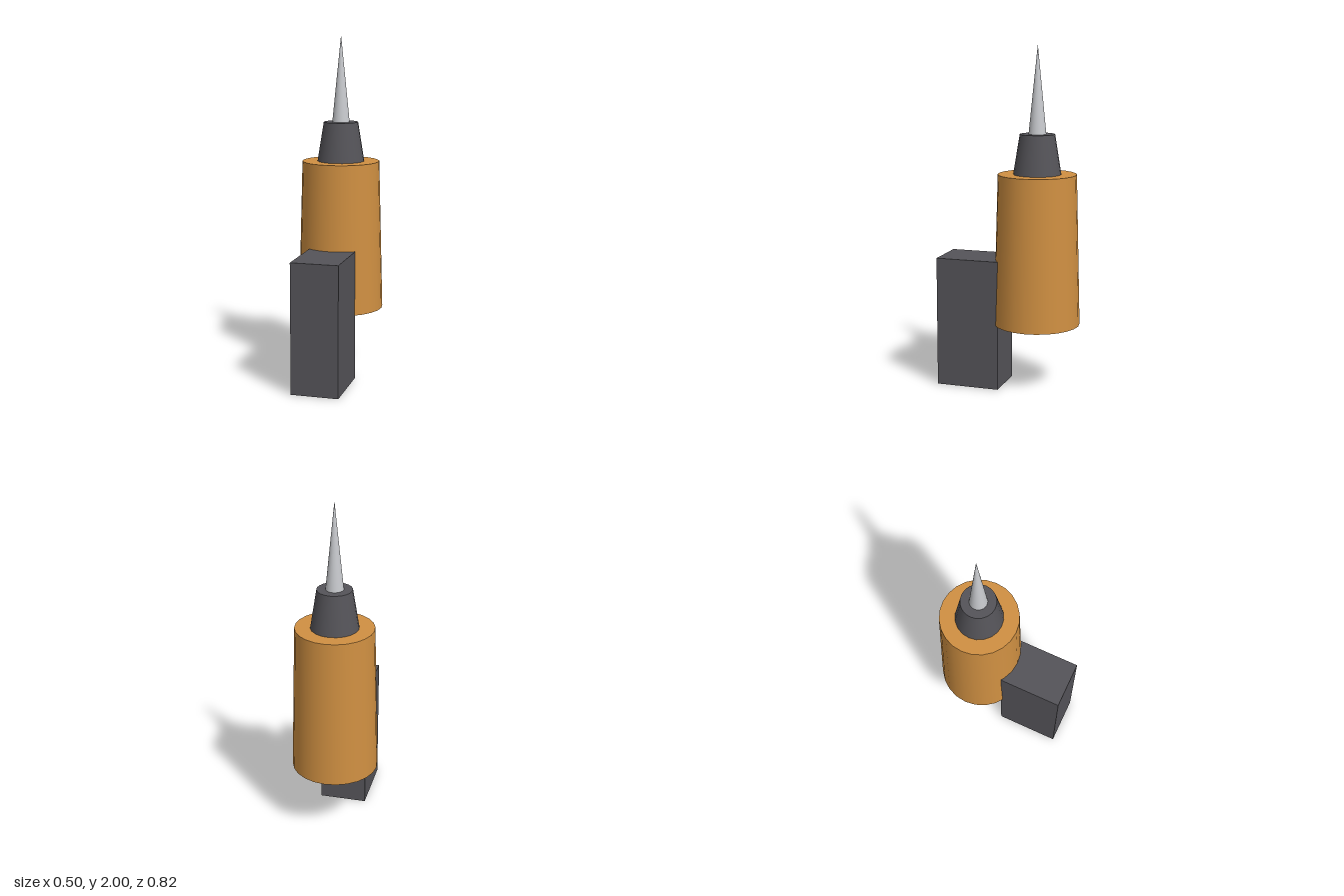
import * as THREE from 'three';

export function createModel() {
  const model = new THREE.Group();
  const material = (name, color) => {
    const m = new THREE.MeshStandardMaterial({ color });
    m.name = name;
    return m;
  };
  const orange = material('orange', 0xd09042);
  const darkGrey = material('darkGrey', 0x555459);
  const steel = material('steel', 0xc8cace);

  const add = (name, geometry, mat, y, z) => {
    const mesh = new THREE.Mesh(geometry, mat);
    mesh.name = name;
    mesh.position.set(0, y, z);
    model.add(mesh);
  };

  // Tapered parts stacked on one upright axis
  const axisZ = -0.16;
  const taper = (name, mat, bottomRadius, topRadius, y0, y1, sides) =>
    add(name, new THREE.CylinderGeometry(topRadius, bottomRadius, y1 - y0, sides), mat, (y0 + y1) / 2, axisZ);

  taper('barrel', orange, 0.251, 0.227, 0.385, 1.265, 24);
  taper('collar', darkGrey, 0.138, 0.101, 1.265, 1.495, 20);
  // Needle
  add('needle', new THREE.ConeGeometry(0.051, 0.505, 32), steel, 1.7475, axisZ);

  // Grip block, set into the front of the barrel
  add('grip', new THREE.BoxGeometry(0.278, 0.764, 0.375), darkGrey, 0.382, 0.2235);

  return model;
}
